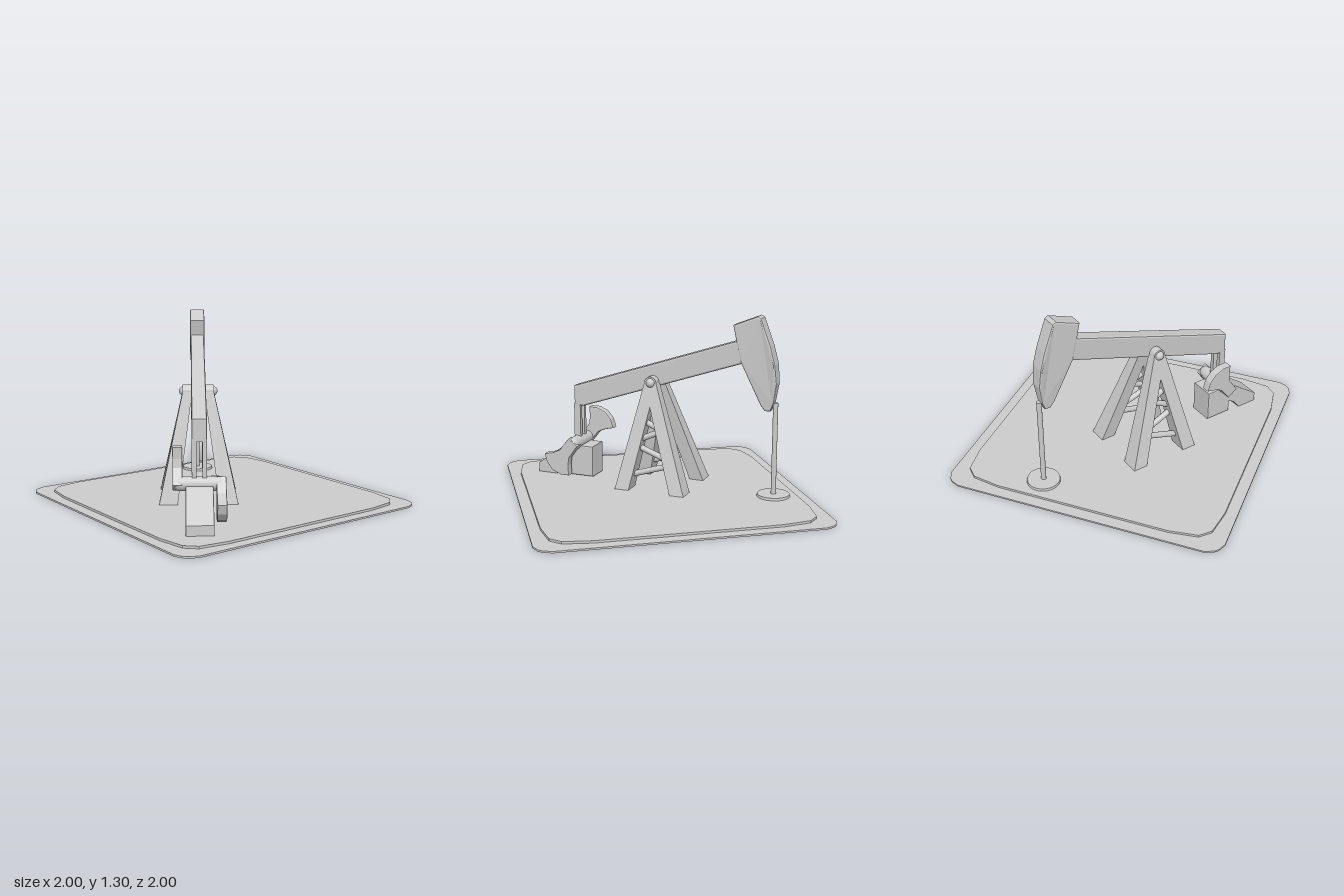
import * as THREE from 'three';

const material = new THREE.MeshStandardMaterial({ color: 0xcccccc });

function add(parent, name, geometry, x = 0, y = 0, z = 0) {
  const mesh = new THREE.Mesh(geometry, material);
  mesh.name = name;
  mesh.position.set(x, y, z);
  parent.add(mesh);
  return mesh;
}

// Side profile (x, y) given a total width along z, with softened edges
function slab(points, width, bevel) {
  const shape = new THREE.Shape(points.map(p => new THREE.Vector2(...p)));
  const geometry = new THREE.ExtrudeGeometry(shape, {
    depth: width - 2 * bevel, bevelEnabled: bevel > 0, bevelSize: bevel,
    bevelThickness: bevel, bevelOffset: -bevel, bevelSegments: 2,
  });
  return geometry.translate(0, 0, bevel - width / 2);
}

// Flat square plate with cut corners; cuts are insets from the corner
function plate(half, height, cuts) {
  const points = [];
  for (let i = 0; i < 4; i++) {
    for (const [a, b] of cuts) {
      points.push(new THREE.Vector2(half - a, half - b)
        .rotateAround(new THREE.Vector2(), i * Math.PI / 2));
    }
  }
  const geometry = new THREE.ExtrudeGeometry(new THREE.Shape(points), { depth: height, bevelEnabled: false });
  return geometry.rotateX(-Math.PI / 2);
}

// Round bar between two points
function bar(parent, name, a, b, radius) {
  const direction = b.clone().sub(a);
  const mesh = add(parent, name, new THREE.CylinderGeometry(radius, radius, direction.length(), 12));
  mesh.position.copy(a).add(b).multiplyScalar(0.5);
  mesh.quaternion.setFromUnitVectors(new THREE.Vector3(0, 1, 0), direction.normalize());
}

// Tapered leg from a wide foot to a narrow top
function legGeometry(foot, top) {
  const geometry = new THREE.BoxGeometry(2, 1, 2);
  const p = geometry.attributes.position;
  for (let i = 0; i < p.count; i++) {
    const up = p.getY(i) > 0;
    const c = up ? top : foot;
    p.setXYZ(i, c.x + p.getX(i) * (up ? 0.045 : 0.053), c.y, c.z + p.getZ(i) * (up ? 0.033 : 0.064));
  }
  geometry.computeVertexNormals();
  return geometry;
}

export function createModel() {
  const model = new THREE.Group();
  model.name = 'pumpJack';

  // Ground slab
  add(model, 'baseLower', plate(1, 0.012, [[0, 0.11], [0.025, 0.05], [0.05, 0.025], [0.11, 0]]));
  add(model, 'baseUpper', plate(0.92, 0.028, [[0, 0.3], [0.03, 0.1], [0.1, 0.03], [0.3, 0]]));

  // The machine is set diagonally: its x runs along the beam, z across it
  const machine = new THREE.Group();
  machine.name = 'machine';
  machine.position.set(-0.165, 0, -0.025);
  machine.rotation.y = 0.958;
  model.add(machine);

  // Walking beam and head
  add(machine, 'walkingBeam', slab([
    [-0.635, 0.56], [-0.56, 0.56], [0.66, 0.965], [0.66, 1.135], [-0.635, 0.71],
  ], 0.1, 0.014));
  const head = slab([
    [0.59, 1.23], [0.615, 1.115], [0.65, 0.97], [0.79, 0.68], [0.82, 0.64], [0.86, 0.64],
    [0.885, 0.7], [0.907, 0.84], [0.895, 0.97], [0.86, 1.1], [0.79, 1.285], [0.765, 1.3],
  ], 0.108, 0.012);
  const hp = head.attributes.position;
  for (let i = 0; i < hp.count; i++) {
    // narrows towards the lower tip
    const k = THREE.MathUtils.clamp((hp.getY(i) - 0.64) / 0.3, 0, 1);
    hp.setZ(i, hp.getZ(i) * (0.5 + 0.5 * k));
  }
  head.computeVertexNormals();
  add(machine, 'beamHead', head);

  // Well rod and well cap
  add(machine, 'wellRod', new THREE.CylinderGeometry(0.018, 0.018, 0.68, 16), 0.892, 0.36, 0);
  add(machine, 'wellCap', new THREE.CylinderGeometry(0.114, 0.118, 0.025, 40), 0.892, 0.033, 0);

  // Tower: two leg pairs with lattice braces
  const pin = new THREE.CylinderGeometry(0.03, 0.03, 0.19, 20).rotateX(Math.PI / 2);
  add(machine, 'pivotPin', pin, 0, 0.79, 0);
  for (const side of [-1, 1]) {
    const top = new THREE.Vector3(0, 0.79, side * 0.075);
    const front = new THREE.Vector3(0.265, 0.025, side * 0.21);
    const back = new THREE.Vector3(-0.157, 0.025, side * 0.21);
    add(machine, 'frontLeg', legGeometry(front, top));
    add(machine, 'backLeg', legGeometry(back, top));
    const cap = new THREE.CylinderGeometry(0.045, 0.045, 0.066, 24).rotateX(Math.PI / 2);
    add(machine, 'legCap', cap, top.x, top.y, top.z);
    add(machine, 'pinEnd', new THREE.SphereGeometry(0.034, 20, 14), 0, 0.79, side * 0.1);
    const at = (foot, y) => foot.clone().lerp(top, (y - foot.y) / (top.y - foot.y));
    for (const [yBack, yFront] of [[0.12, 0.22], [0.34, 0.24], [0.37, 0.46], [0.52, 0.45]]) {
      bar(machine, 'brace', at(back, yBack), at(front, yFront), 0.021);
    }
  }

  // Gearbox and sloping motor housing
  add(machine, 'gearbox', slab([
    [-0.67, 0.035], [-0.47, 0.035], [-0.47, 0.265], [-0.67, 0.265],
  ], 0.18, 0.008));
  add(machine, 'motorHousing', slab([
    [-0.925, 0.025], [-0.77, 0.025], [-0.72, 0.09], [-0.6, 0.16], [-0.6, 0.29], [-0.68, 0.27], [-0.925, 0.095],
  ], 0.18, 0.008));

  // Crank shaft with rounded ends, and connecting rods up to the beam
  const shaft = new THREE.CapsuleGeometry(0.049, 0.25, 6, 20).rotateX(Math.PI / 2);
  add(machine, 'crankShaft', shaft, -0.61, 0.283, 0);
  for (const side of [-1, 1]) {
    add(machine, 'connectingRod', new THREE.BoxGeometry(0.05, 0.31, 0.03), -0.61, 0.425, side * 0.034);
  }

  // Fan-shaped counterweights on opposite sides of the shaft
  const fan = [
    [-0.03, -0.045], [0.09, -0.048], [0.14, -0.075], [0.2, -0.125], [0.24, -0.07], [0.257, 0],
    [0.24, 0.07], [0.2, 0.125], [0.14, 0.075], [0.09, 0.048], [-0.03, 0.045],
  ];
  for (const side of [-1, 1]) {
    const weight = add(machine, 'counterweight', slab(fan, 0.064, 0.008), -0.61, 0.283, side * 0.142);
    weight.rotation.z = 0.93 + (side > 0 ? Math.PI : 0);
  }

  return model;
}
